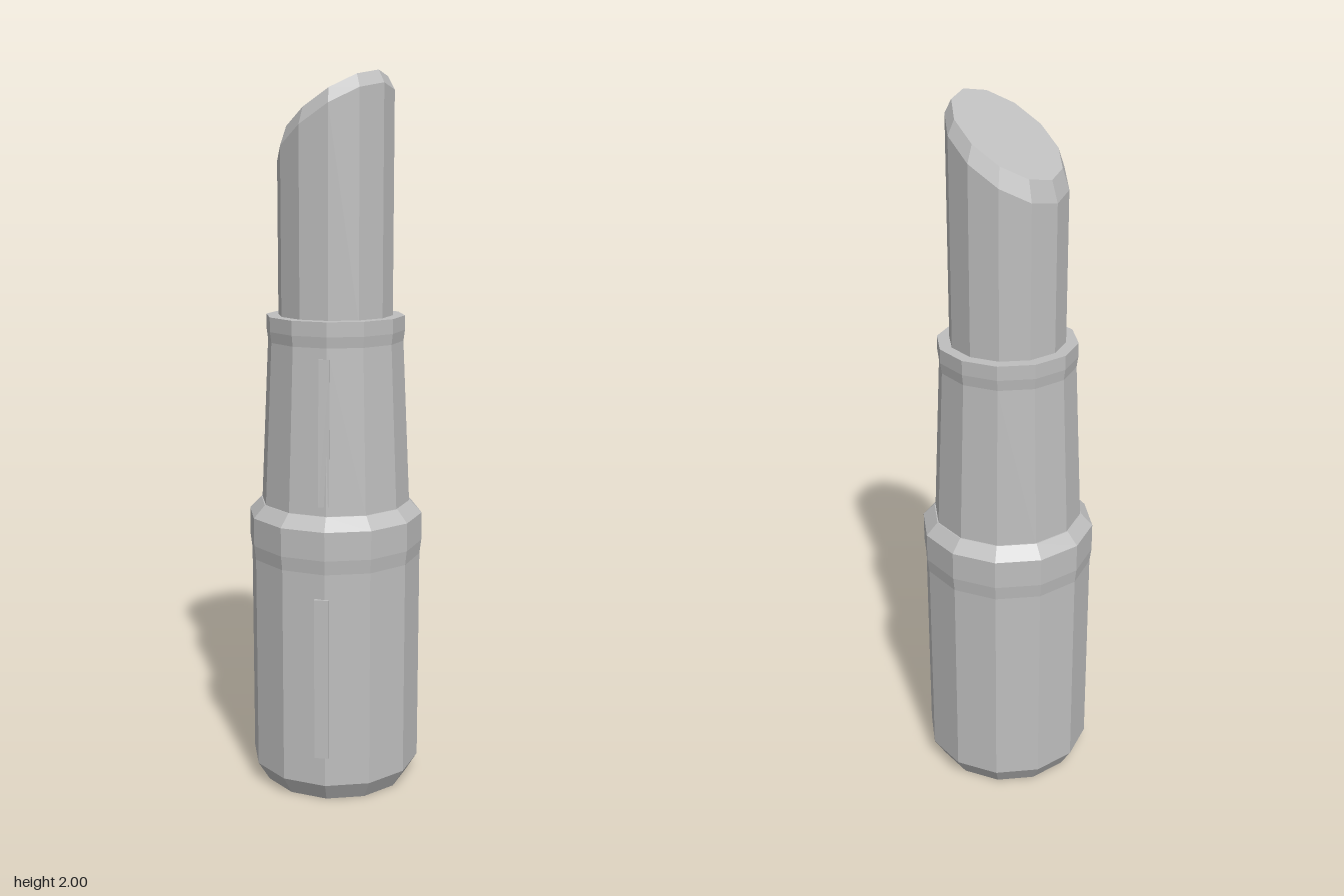
import * as THREE from 'three';

const SIDES = 12;

// Twelve-sided solid turned from [radius, height] pairs, bottom to top
function turned(profile) {
  return new THREE.LatheGeometry(profile.map(([r, y]) => new THREE.Vector2(r, y)), SIDES);
}

export function createModel() {
  const group = new THREE.Group();
  const grey = new THREE.MeshStandardMaterial({ color: 0xbebebe, flatShading: true });
  grey.name = 'plain grey';

  function add(name, geometry) {
    const mesh = new THREE.Mesh(geometry, grey);
    mesh.name = name;
    group.add(mesh);
    return mesh;
  }

  // Base tube with a chamfered foot and a slightly wider collar
  add('base', turned([
    [0, 0], [0.208, 0], [0.242, 0.055], [0.242, 0.67],
    [0.247, 0.71], [0.247, 0.79], [0.214, 0.825], [0, 0.825],
  ]));

  // Tapered sleeve with a small lip
  add('sleeve', turned([
    [0.211, 0.82], [0.19, 1.28], [0.194, 1.31], [0.194, 1.35], [0, 1.35],
  ]));

  // Stick with a slanted, bevelled tip: upper rings are sheared along x
  const stick = turned([[0.16, 1.34], [0.16, 1.86], [0.142, 1.905], [0, 1.905]]);
  const p = stick.attributes.position;
  for (let i = 0; i < p.count; i++) {
    if (p.getY(i) > 1.5) p.setY(i, p.getY(i) + 0.67 * p.getX(i));
  }
  stick.computeVertexNormals();
  add('stick', stick);

  // Narrow raised strips on the front left edge
  const angle = THREE.MathUtils.degToRad(28);
  function strip(name, width, y0, y1, radius, lean) {
    const mesh = add(name, new THREE.BoxGeometry(width, y1 - y0, 0.016));
    mesh.position.set(radius * Math.sin(angle), (y0 + y1) / 2, radius * Math.cos(angle));
    mesh.rotation.set(lean, angle, 0, 'YXZ');
  }
  strip('baseStrip', 0.04, 0.14, 0.6, 0.239, 0);
  strip('sleeveStrip', 0.03, 0.85, 1.25, 0.193, -0.035);

  return group;
}
